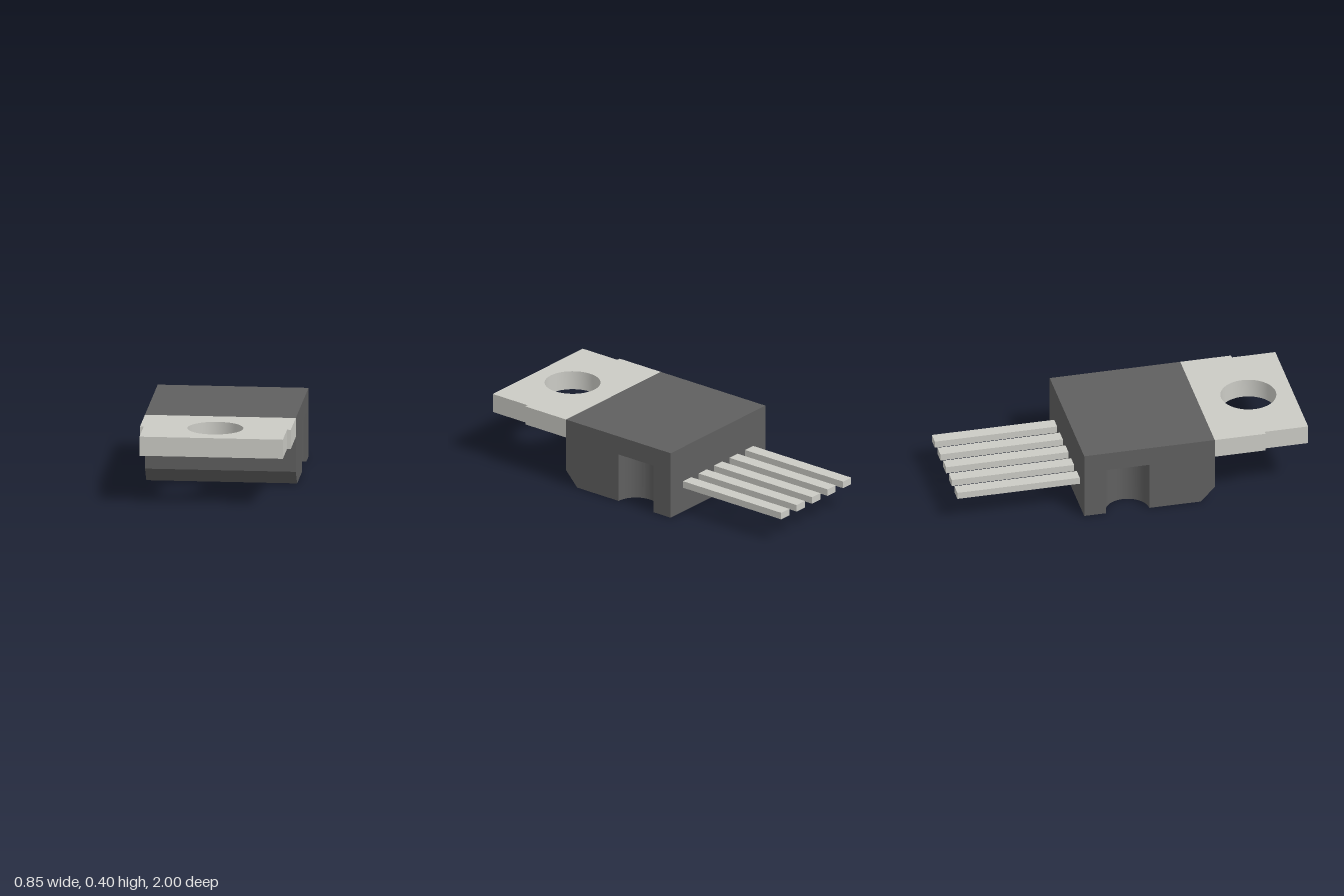
import * as THREE from 'three';
import { toCreasedNormals } from 'three/addons/utils/BufferGeometryUtils.js';

const W = 0.425;        // half width of the package
const BACK = -0.295;    // rear face of the moulded body
const FRONT = 0.457;    // front face of the moulded body
const MID = 0.285;      // underside of the metal tab
const TOP = 0.395;

// Extrudes a plan outline drawn in (x, z) between two heights
function slab(shape, bottom, top, steps = 1) {
  const geo = new THREE.ExtrudeGeometry(shape, {
    depth: top - bottom, steps, bevelEnabled: false, curveSegments: 32,
  });
  return geo.rotateX(Math.PI / 2).translate(0, top, 0);
}

function circleHole(x, z, r) {
  return new THREE.Path().absarc(x, z, r, 0, Math.PI * 2, true);
}

export function createModel() {
  const model = new THREE.Group();
  const plastic = new THREE.MeshStandardMaterial({ color: 0x5f5f5f });
  const metal = new THREE.MeshStandardMaterial({ color: 0xcbcbc5 });

  const add = (parent, name, geo, mat) => {
    const mesh = new THREE.Mesh(geo, mat);
    mesh.name = name;
    parent.add(mesh);
    return mesh;
  };

  // Moulded body
  const body = new THREE.Group();
  body.name = 'body';
  model.add(body);

  // Lower body: half-round side notches and a small round recess underneath
  const notchZ = -0.045, notchR = 0.125;
  const dimple = { z: -0.18, r: 0.061, depth: 0.05 };
  const plan = new THREE.Shape();
  plan.moveTo(-W, BACK);
  plan.lineTo(W, BACK);
  plan.absarc(W, notchZ, notchR, -Math.PI / 2, Math.PI / 2, true);
  plan.lineTo(W, FRONT);
  plan.lineTo(-W, FRONT);
  plan.absarc(-W, notchZ, notchR, Math.PI / 2, -Math.PI / 2, true);
  plan.closePath();
  plan.holes.push(circleHole(0, dimple.z, dimple.r));
  const lower = slab(plan, 0, MID, 2);

  // Chamfer the lower front edge: drop the middle ring, pull the bottom ring back
  const p = lower.attributes.position;
  for (let i = 0; i < p.count; i++) {
    const y = p.getY(i);
    if (Math.abs(y - MID / 2) < 0.01) p.setY(i, 0.085);
    if (y < 0.01 && p.getZ(i) > FRONT - 0.01) p.setZ(i, 0.377);
  }
  add(body, 'lowerBody', toCreasedNormals(lower, 0.5), plastic);

  // Floor of the recess, facing down
  const floor = add(body, 'recessFloor', new THREE.CircleGeometry(dimple.r, 32), plastic);
  floor.rotation.x = Math.PI / 2;
  floor.position.set(0, dimple.depth, dimple.z);

  // Upper body, which also closes the tops of the side notches
  const upper = add(body, 'upperBody',
    new THREE.BoxGeometry(W * 2, TOP - MID, FRONT - BACK), plastic);
  upper.position.set(0, (TOP + MID) / 2, (FRONT + BACK) / 2);

  // Metal mounting tab with a stepped outline and screw hole
  const tabW = 0.404, stepZ = 0.75;
  const tab = new THREE.Shape([
    [-W, FRONT], [W, FRONT], [W, stepZ], [tabW, stepZ],
    [tabW, 1], [-tabW, 1], [-tabW, stepZ], [-W, stepZ],
  ].map(([x, z]) => new THREE.Vector2(x, z)));
  tab.holes.push(circleHole(0, stepZ, 0.157));
  add(model, 'mountingTab', toCreasedNormals(slab(tab, MID, TOP), 0.5), metal);

  // Five straight leads at the back
  const leads = new THREE.Group();
  leads.name = 'leads';
  model.add(leads);
  const leadGeo = new THREE.BoxGeometry(0.073, 0.04, 1 + BACK);
  for (let i = -2; i <= 2; i++) {
    const lead = add(leads, 'lead', leadGeo, metal);
    lead.position.set(i * 0.139, 0.166, (BACK - 1) / 2);
  }

  return model;
}
